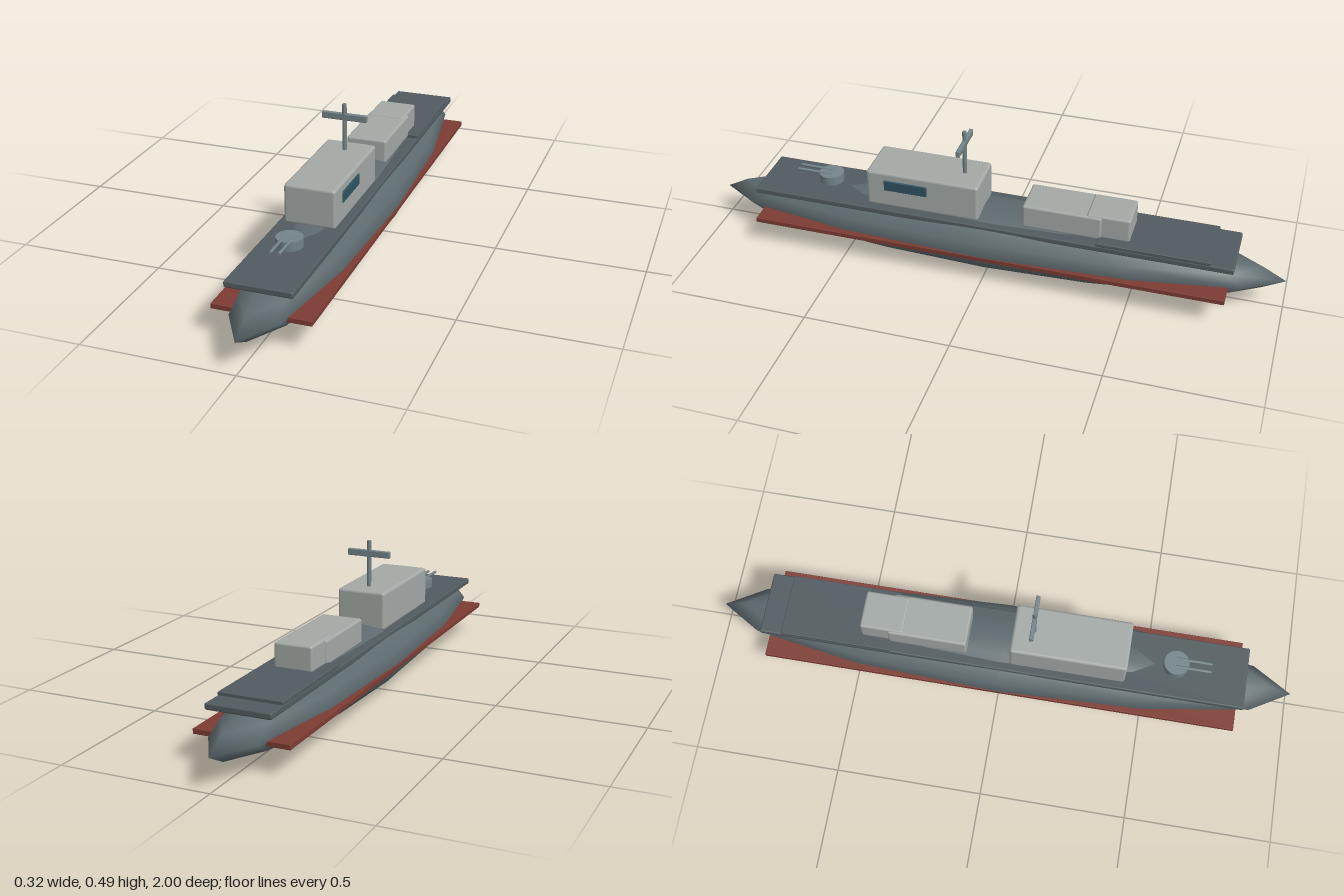
import * as THREE from 'three';
import { RoundedBoxGeometry } from 'three/addons/geometries/RoundedBoxGeometry.js';

const paint = (color) => new THREE.MeshStandardMaterial({ color });

export function createModel() {
  const ship = new THREE.Group();
  const hullGrey = paint(0x5d6a6e);
  const deckGrey = paint(0x515c60);
  const houseGrey = paint(0xa3a9a6);
  const metal = paint(0x738489);
  const red = paint(0x7d3c33);
  const glass = paint(0x2f5362);

  const add = (name, geometry, material, x = 0, y = 0, z = 0) => {
    const mesh = new THREE.Mesh(geometry, material);
    mesh.name = name;
    mesh.position.set(x, y, z);
    ship.add(mesh);
    return mesh;
  };
  // Soft-edged block given by its limits in y and z, centred on x
  const block = (name, material, width, y0, y1, z0, z1, radius) =>
    add(name, new RoundedBoxGeometry(width, y1 - y0, z1 - z0, 2, radius),
      material, 0, (y0 + y1) / 2, (z0 + z1) / 2);

  // Hull: a stretched low-resolution ellipsoid with a red waterline slab
  add('hull', new THREE.SphereGeometry(1, 12, 8).scale(0.16, 0.107, 1), hullGrey, 0, 0.11, 0);
  block('waterlineBelt', red, 0.32, 0.091, 0.108, -0.82, 0.82, 0.002);

  // Decks
  block('mainDeck', deckGrey, 0.218, 0.178, 0.199, -0.835, 0.835, 0.005);
  block('aftDeck', deckGrey, 0.216, 0.197, 0.21, -0.76, -0.38, 0.003);

  // Superstructure
  block('bridge', houseGrey, 0.172, 0.2, 0.333, 0.03, 0.425, 0.01);
  block('aftHouse', houseGrey, 0.144, 0.2, 0.284, -0.39, -0.12, 0.008);
  block('hangar', houseGrey, 0.132, 0.2, 0.289, -0.485, -0.337, 0.008);
  add('bridgeWindow', new RoundedBoxGeometry(0.012, 0.038, 0.152, 2, 0.003), glass, 0.085, 0.286, 0.285);

  // Mast with crossbar
  add('mast', new THREE.CylinderGeometry(0.0075, 0.0075, 0.173, 12), metal, 0, 0.4065, 0.1);
  add('mastCrossbar', new RoundedBoxGeometry(0.154, 0.023, 0.014, 2, 0.003), metal, 0, 0.4485, 0.1);

  // Forward turret with twin barrels
  add('turret', new THREE.CylinderGeometry(0.043, 0.043, 0.031, 20), metal, 0, 0.229, 0.59);
  for (const side of [-1, 1]) {
    add('gunBarrel', new THREE.CylinderGeometry(0.005, 0.005, 0.12, 10).rotateX(Math.PI / 2),
      metal, side * 0.014, 0.244, 0.648);
  }
  return ship;
}
